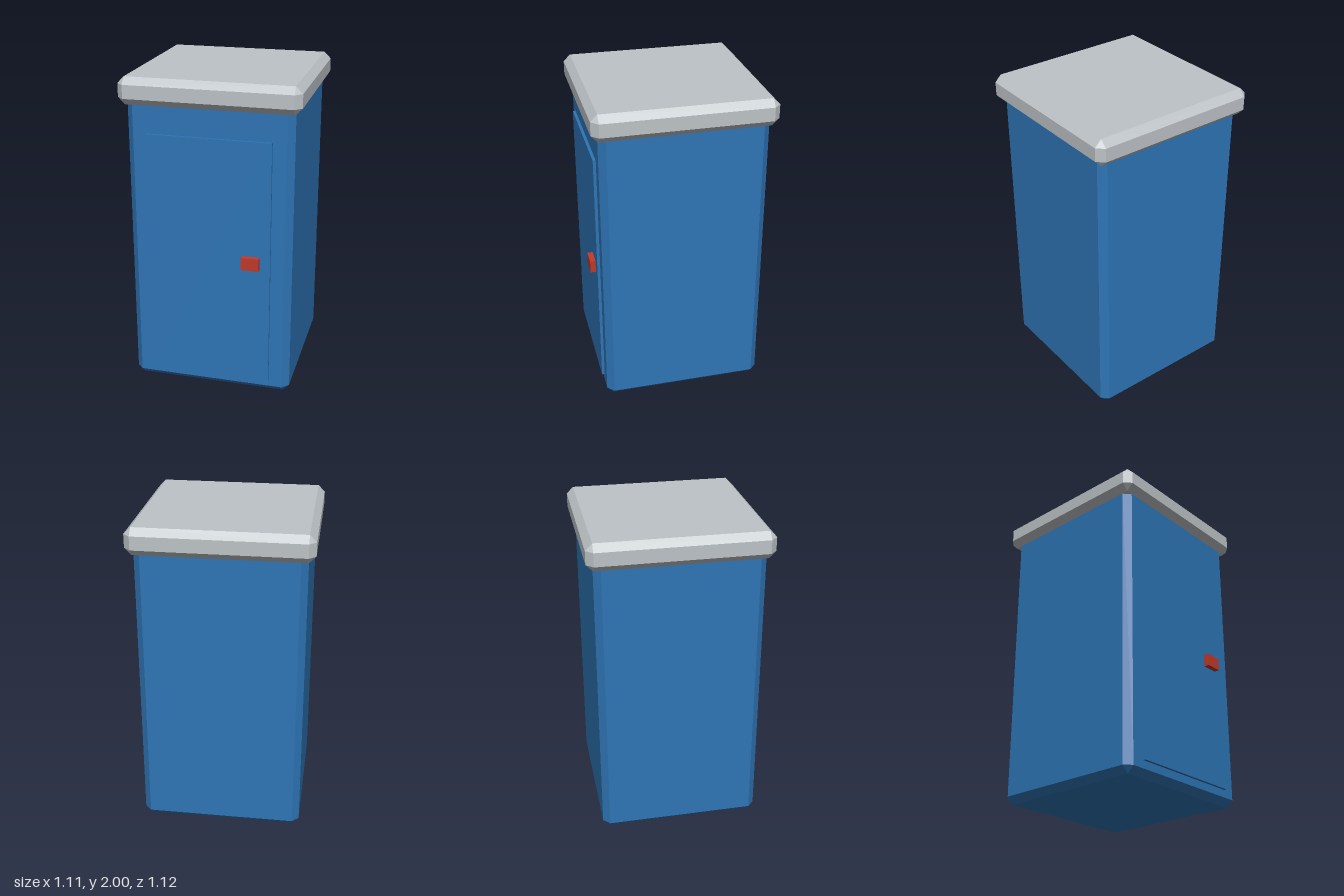
import * as THREE from 'three';
import { ConvexGeometry } from 'three/addons/geometries/ConvexGeometry.js';

// Box with every edge bevelled by c
function bevelBox(w, h, d, c) {
  const half = [w / 2, h / 2, d / 2];
  const points = [];
  for (const sx of [-1, 1]) for (const sy of [-1, 1]) for (const sz of [-1, 1])
    for (let axis = 0; axis < 3; axis++) {
      const p = half.map((v, i) => (i === axis ? v : v - c));
      points.push(new THREE.Vector3(p[0] * sx, p[1] * sy, p[2] * sz));
    }
  return new ConvexGeometry(points);
}

export function createModel() {
  const group = new THREE.Group();
  const blue = new THREE.MeshStandardMaterial({ color: 0x2e75b6 });
  blue.name = 'blue paint';
  const grey = new THREE.MeshStandardMaterial({ color: 0xbdc3c7 });
  grey.name = 'light grey';
  const red = new THREE.MeshStandardMaterial({ color: 0xc0392b });
  red.name = 'red';

  const add = (name, geometry, material, x, y, z) => {
    const mesh = new THREE.Mesh(geometry, material);
    mesh.name = name;
    mesh.position.set(x, y, z);
    group.add(mesh);
  };

  const bevel = 0.042;
  const midZ = -0.005;

  // Cabin, its top bevel tucked inside the roof slab
  add('cabin', bevelBox(1.02, 1.9, 1.02, bevel), blue, 0, 0.95, midZ);
  add('roof', bevelBox(1.106, 0.168, 1.106, bevel), grey, 0, 1.916, midZ);

  // Raised door panel and its handle
  add('door', new THREE.BoxGeometry(0.768, 1.572, 0.04), blue, 0, 0.876, 0.503);
  add('doorHandle', new THREE.BoxGeometry(0.11, 0.08, 0.04), red, 0.265, 0.9, 0.537);

  return group;
}
